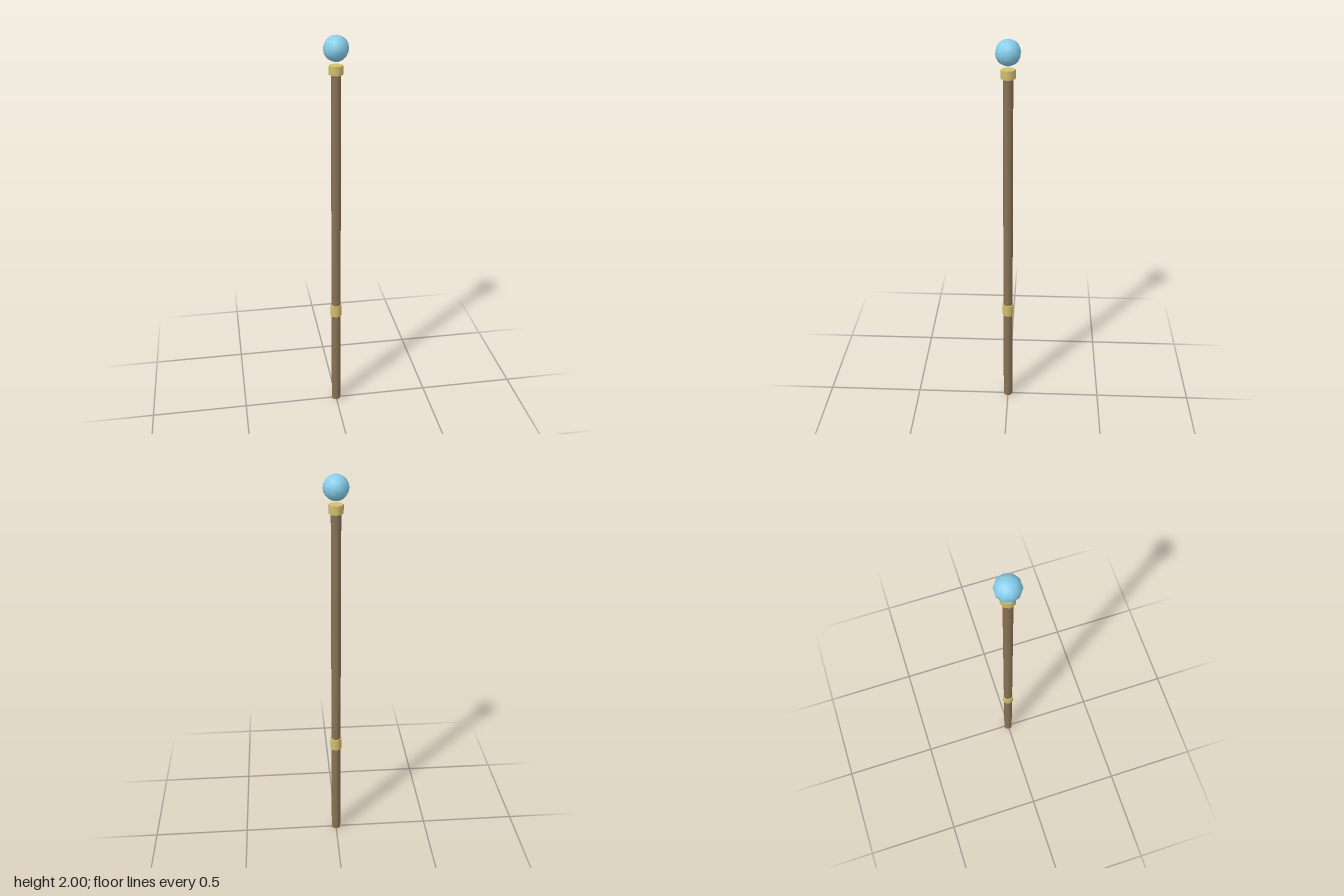
import * as THREE from 'three';

export function createModel() {
  const group = new THREE.Group();
  const wood = new THREE.MeshStandardMaterial({ color: 0x8b7355 });
  const brass = new THREE.MeshStandardMaterial({ color: 0xd4c070 });
  const blue = new THREE.MeshStandardMaterial({ color: 0x87ceeb });

  const add = (name, geometry, material, y) => {
    const mesh = new THREE.Mesh(geometry, material);
    mesh.name = name;
    mesh.position.y = y;
    group.add(mesh);
  };

  // Upright round part between two heights
  const rod = (name, radius, bottom, top, material) =>
    add(name, new THREE.CylinderGeometry(radius, radius, top - bottom, 8), material, (bottom + top) / 2);

  rod('shaft', 0.024, 0, 1.84, wood);
  rod('gripBand', 0.03, 0.537, 0.6, brass);
  rod('topCollar', 0.035, 1.821, 1.863, brass);

  // Orb floating just above the collar
  add('orb', new THREE.SphereGeometry(0.06, 10, 10), blue, 1.94);

  return group;
}
